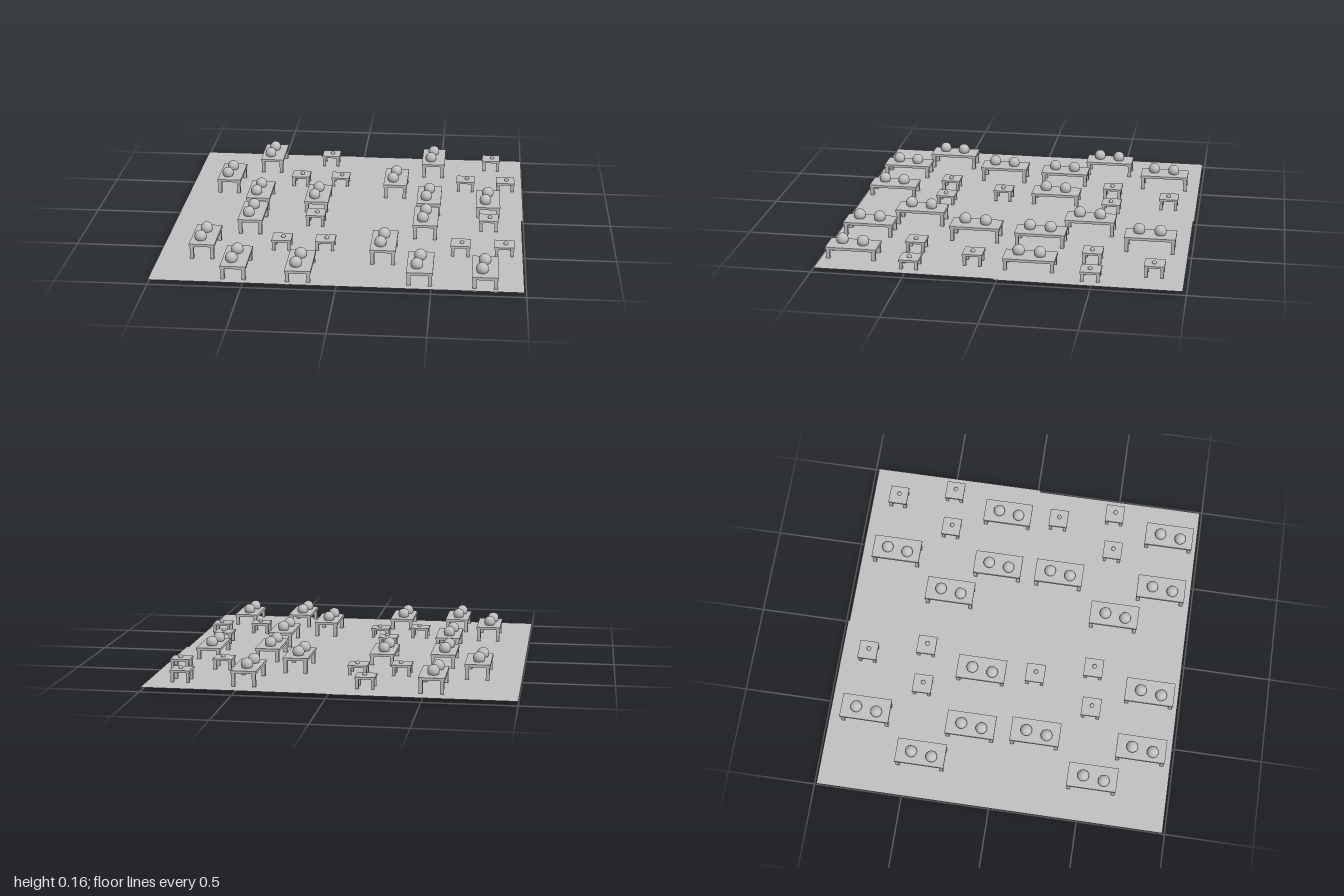
import * as THREE from 'three';

const GROUND_Y = 0.02;

// Furniture of one quarter: [x, foot height, z], repeated in each quarter
const LARGE = [
  [-0.545, 0.025, -0.777],
  [-0.76, 0.02, -0.423],
  [-0.551, 0.01, -0.17],
  [-0.206, 0, -0.161],
];
const SMALL = [
  [-0.19, 0.027, -0.828],
  [-0.343, 0.016, -0.483],
  [-0.103, 0.009, -0.499],
];

// Each quarter: shift of its furniture and bounds of its floor tile
const QUARTERS = [
  { shift: [0, 0], tile: [-1, 0, -0.987, 0] },
  { shift: [1.001, 0.007], tile: [0, 1, -0.98, 0.013] },
  { shift: [0.002, 0.979], tile: [-1, 0, 0, 0.986] },
  { shift: [0.989, 0.979], tile: [0, 0.988, 0.013, 0.986] },
];

export function createModel() {
  const model = new THREE.Group();
  model.name = 'diningArea';

  const grey = new THREE.MeshStandardMaterial({ color: 0xc0c0c0, side: THREE.DoubleSide });
  grey.name = 'plain grey';

  const add = (parent, name, geometry, x, y, z) => {
    const mesh = new THREE.Mesh(geometry, grey);
    mesh.name = name;
    mesh.position.set(x, y, z);
    parent.add(mesh);
    return mesh;
  };

  // Table: thin top on four square legs, balls half sunk into the top
  function makeTable(name, { width, depth, height, top, leg, inset, radius, sink, balls }) {
    const table = new THREE.Group();
    table.name = name;
    add(table, 'tableTop', new THREE.BoxGeometry(width, top, depth), 0, height - top / 2, 0);
    const legGeometry = new THREE.BoxGeometry(leg, height - top, leg);
    const lx = width / 2 - inset - leg / 2;
    const lz = depth / 2 - inset - leg / 2;
    for (const sx of [-1, 1])
      for (const sz of [-1, 1])
        add(table, 'tableLeg', legGeometry, sx * lx, (height - top) / 2, sz * lz);
    const ballGeometry = new THREE.SphereGeometry(radius, 32, 20);
    for (const [x, z] of balls) add(table, 'ball', ballGeometry, x, height + sink, z);
    return table;
  }

  const large = makeTable('largeTable', {
    width: 0.14, depth: 0.281, height: 0.086, top: 0.015, leg: 0.02, inset: 0.004,
    radius: 0.033, sink: 0.019, balls: [[-0.003, -0.053], [-0.017, 0.065]],
  });
  const small = makeTable('smallTable', {
    width: 0.109, depth: 0.109, height: 0.066, top: 0.012, leg: 0.017, inset: 0.004,
    radius: 0.012, sink: 0.004, balls: [[0.007, 0.003]],
  });

  for (const { shift, tile } of QUARTERS) {
    const quarter = new THREE.Group();
    quarter.name = 'quarter';
    model.add(quarter);

    // Floor tile
    const [x0, x1, z0, z1] = tile;
    const floor = new THREE.PlaneGeometry(x1 - x0, z1 - z0).rotateX(-Math.PI / 2);
    add(quarter, 'floor', floor, (x0 + x1) / 2, GROUND_Y, (z0 + z1) / 2);

    // Tables
    for (const [source, places] of [[large, LARGE], [small, SMALL]])
      for (const [x, y, z] of places) {
        const table = source.clone();
        table.position.set(x + shift[0], y, z + shift[1]);
        quarter.add(table);
      }
  }
  return model;
}
